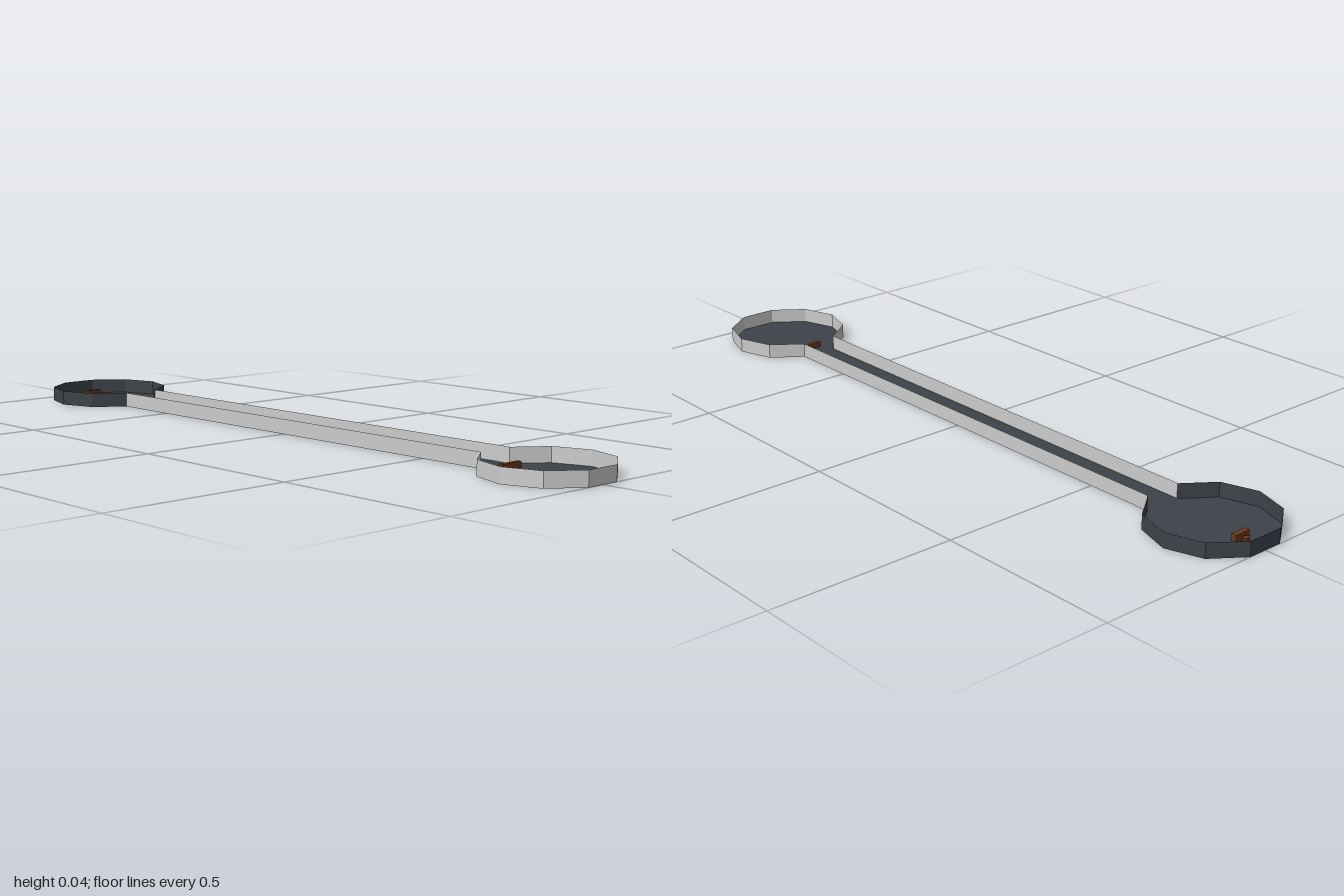
import * as THREE from 'three';

const flat = (name, color) => new THREE.MeshStandardMaterial({
  name, color, flatShading: true, side: THREE.DoubleSide,
});

export function createModel() {
  const slate = flat('slate', 0x3d4349);
  const pale = flat('pale grey', 0xcccccc);
  const wood = flat('brown wood', 0x6b3a1c);

  const R = 0.165, H = 0.04;
  const apothem = R * Math.cos(Math.PI / 10);
  const halfSide = R * Math.sin(Math.PI / 10);
  const roomX = 1 - apothem;
  const doorX = roomX - apothem;
  const deg = Math.PI / 180;

  const model = new THREE.Group();
  const add = (name, geometry, material, x, y, z, parent = model) => {
    const mesh = new THREE.Mesh(geometry, material);
    mesh.name = name;
    mesh.position.set(x, y, z);
    parent.add(mesh);
    return mesh;
  };

  // Ten-sided rooms, each with one side left open towards the corridor
  for (const side of [-1, 1]) {
    const room = new THREE.Group();
    room.name = side < 0 ? 'darkRoom' : 'lightRoom';
    room.position.x = side * roomX;
    model.add(room);

    const floor = new THREE.CircleGeometry(R, 10, Math.PI / 2);
    floor.rotateX(-Math.PI / 2);
    add('roomFloor', floor, slate, 0, 0, 0, room);

    const start = (side < 0 ? 108 : 288) * deg;
    const wall = new THREE.CylinderGeometry(R, R, H, 9, 1, true, start, 324 * deg);
    add('roomWall', wall, side < 0 ? slate : pale, 0, H / 2, 0, room);
  }

  // Corridor floor and its two long walls
  const corridorFloor = new THREE.PlaneGeometry(2 * doorX, 2 * halfSide);
  corridorFloor.rotateX(-Math.PI / 2);
  add('corridorFloor', corridorFloor, slate, 0, 0, 0);
  for (const side of [-1, 1]) {
    const wall = new THREE.PlaneGeometry(2 * doorX, H, 24, 1);
    if (side < 0) wall.rotateY(Math.PI);
    add('corridorWall', wall, pale, 0, H / 2, side * (halfSide + 0.001));
  }

  // Small desk with a seat behind it, and a low bench inside the other doorway
  add('desk', new THREE.BoxGeometry(0.014, 0.02, 0.046), wood, -0.927, 0.01, 0);
  add('seat', new THREE.CylinderGeometry(0.009, 0.009, 0.012, 6), wood, -0.944, 0.006, 0);
  add('bench', new THREE.BoxGeometry(0.012, 0.015, 0.068), wood, 0.732, 0.0075, 0);

  return model;
}
